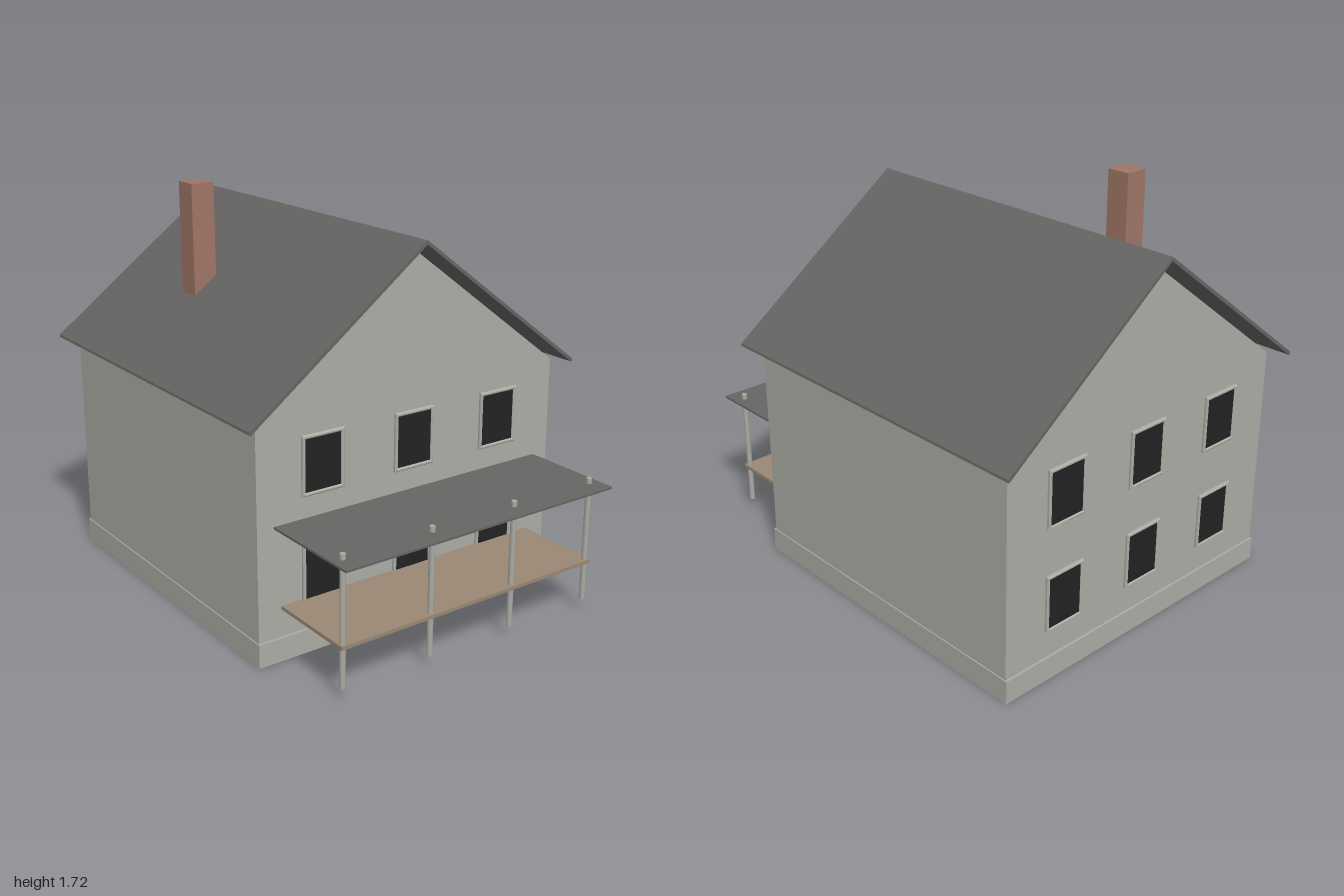
import * as THREE from 'three';

const mat = (name, color) => {
  const m = new THREE.MeshStandardMaterial({ color });
  m.name = name;
  return m;
};

export function createModel() {
  const house = new THREE.Group();
  house.name = 'house';
  const wall = mat('grey plaster', 0xabaca4);
  const slate = mat('dark slate', 0x666564);
  const brick = mat('red brick', 0xa07667);
  const wood = mat('deck wood', 0x9a8874);
  const glass = mat('dark glass', 0x222222);

  const add = (name, geometry, material, parent = house) => {
    const mesh = new THREE.Mesh(geometry, material);
    mesh.name = name;
    parent.add(mesh);
    return mesh;
  };
  // box given by its limits on each axis
  const box = (name, material, [x0, x1], [y0, y1], [z0, z1], parent) => {
    const mesh = add(name, new THREE.BoxGeometry(x1 - x0, y1 - y0, z1 - z0), material, parent);
    mesh.position.set((x0 + x1) / 2, (y0 + y1) / 2, (z0 + z1) / 2);
    return mesh;
  };
  // outline in x, y pushed along z
  const prism = (name, material, points, z0, z1) => {
    const shape = new THREE.Shape(points.map(([x, y]) => new THREE.Vector2(x, y)));
    const geometry = new THREE.ExtrudeGeometry(shape, { depth: z1 - z0, bevelEnabled: false });
    add(name, geometry, material).position.z = z0;
  };

  // walls with gables, and plinth
  prism('walls', wall, [[-0.74, 0.05], [0.74, 0.05], [0.74, 0.985], [0, 1.54], [-0.74, 0.985]], -0.93, 0.54);
  box('plinth', wall, [-0.745, 0.745], [0, 0.1], [-0.94, 0.55]);

  // thin pitched roof floating just above the gables
  prism('roof', slate, [[-0.805, 0.982], [-0.798, 0.978], [0, 1.575], [0.798, 0.978],
    [0.805, 0.982], [0.803, 0.992], [0, 1.592], [-0.803, 0.992]], -1, 0.605);

  box('chimney', brick, [-0.46, -0.355], [1.12, 1.72], [-0.47, -0.365]);

  // windows: bevelled frame around a thin pane
  const rect = (T, w, h) => new T([[-w, -h], [w, -h], [w, h], [-w, h]]
    .map(([x, y]) => new THREE.Vector2(x / 2, y / 2)));
  const frameShape = rect(THREE.Shape, 0.194, 0.245);
  frameShape.holes.push(rect(THREE.Path, 0.166, 0.216));
  const frameGeo = new THREE.ExtrudeGeometry(frameShape, {
    depth: 0.009, bevelThickness: 0.004, bevelSize: 0.004, bevelOffset: -0.004, bevelSegments: 1,
  });
  const paneGeo = new THREE.BoxGeometry(0.17, 0.22, 0.008);
  for (const side of [1, -1]) {
    for (const x of [-0.442, 0, 0.442]) {
      for (const y of [0.338, 0.783]) {
        const win = new THREE.Group();
        win.name = 'window';
        add('windowFrame', frameGeo, wall, win);
        add('windowPane', paneGeo, glass, win).position.z = 0.003;
        win.position.set(x, y, side > 0 ? 0.54 : -0.93);
        if (side < 0) win.rotation.y = Math.PI;
        house.add(win);
      }
    }
  }

  // front porch: deck, flat roof and posts running through both
  const porch = new THREE.Group();
  porch.name = 'porch';
  house.add(porch);
  box('deck', wood, [-0.635, 0.635], [0.217, 0.232], [0.53, 0.935], porch);
  box('porchRoof', slate, [-0.665, 0.665], [0.56, 0.569], [0.53, 1], porch);
  const postGeo = new THREE.CylinderGeometry(0.012, 0.012, 0.54, 8);
  for (const x of [-0.618, -0.206, 0.206, 0.618]) {
    add('porchPost', postGeo, wall, porch).position.set(x, 0.322, 0.916);
  }
  return house;
}
